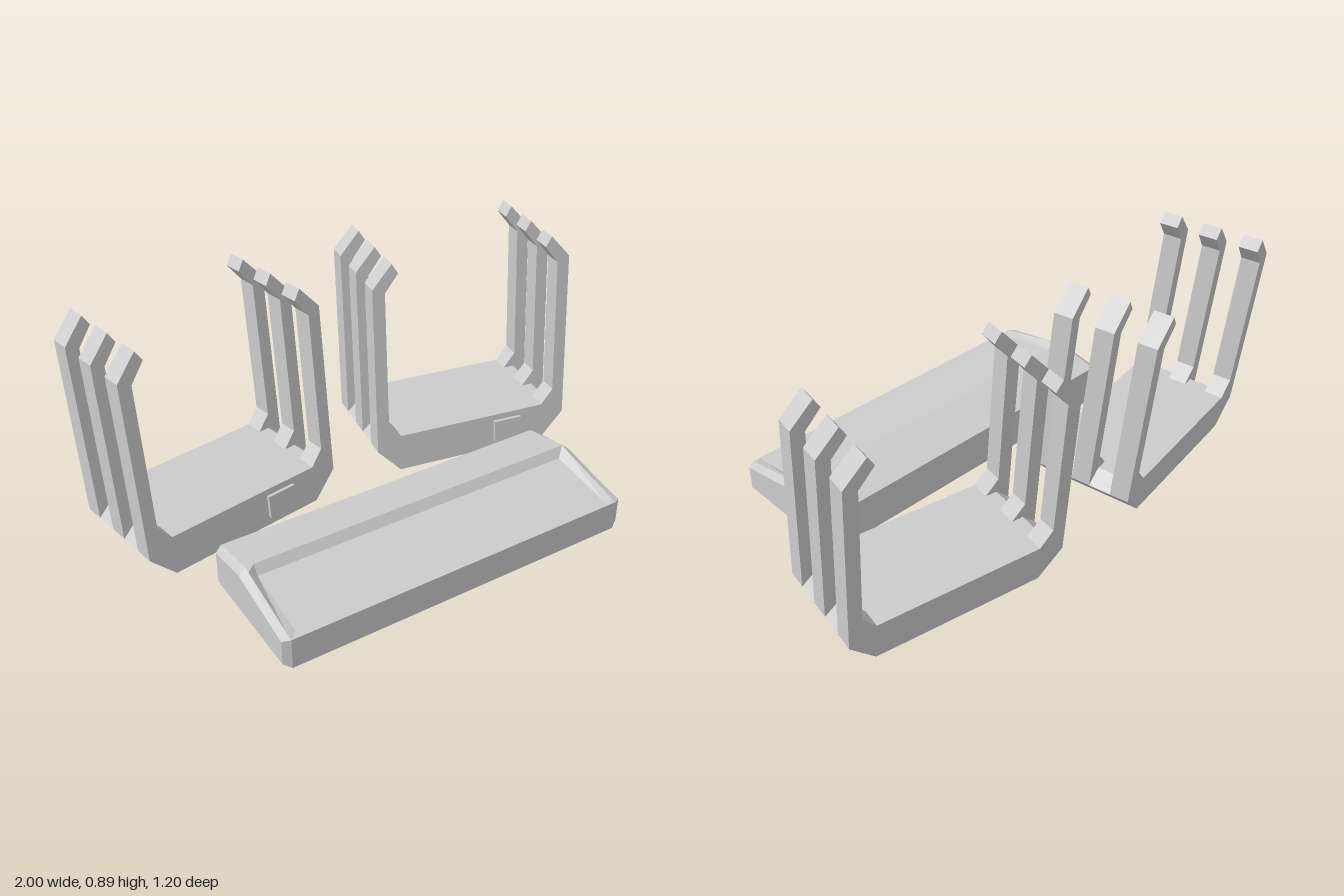
import * as THREE from 'three';

const material = new THREE.MeshStandardMaterial({ color: 0xcccccc, flatShading: true });
const DEPTH = 0.405, LEAN = 0.088, POST = 0.075;

function part(parent, name, geometry) {
  const mesh = new THREE.Mesh(geometry, material);
  mesh.name = name;
  parent.add(mesh);
  return mesh;
}

// Extrude an outline from zFront backwards, then lean it back with height
function leaning(points, zFront, depth) {
  const shape = new THREE.Shape(points.map(([x, y]) => new THREE.Vector2(x, y)));
  const g = new THREE.ExtrudeGeometry(shape, { depth, bevelEnabled: false });
  g.translate(0, 0, zFront - depth);
  const p = g.attributes.position;
  for (let i = 0; i < p.count; i++) p.setZ(i, p.getZ(i) - LEAN * (p.getY(i) - 0.12));
  g.computeVertexNormals();
  return g;
}

// Cradle: chamfered floor with three hooked posts on each side
function createRack(name, x, angle) {
  const rack = new THREE.Group();
  rack.name = name;
  rack.position.set(x, 0, -0.072);
  rack.rotation.y = angle;

  const half = [[0.32, 0.02], [0.415, 0.12], [0.36, 0.17]];
  const mirrored = half.map(([px, py]) => [-px, py]).reverse();
  part(rack, 'rackBase', leaning([...half, ...mirrored], 0, DEPTH));

  const postOutline = [
    [0.415, 0.12], [0.415, 0.8], [0.335, 0.89], [0.31, 0.85],
    [0.365, 0.78], [0.365, 0.23], [0.315, 0.17], [0.36, 0.17],
  ];
  for (const side of [-1, 1]) {
    const outline = postOutline.map(([px, py]) => [px * side, py]);
    for (let i = 0; i < 3; i++) {
      part(rack, 'post', leaning(outline, -i * (DEPTH - POST) / 2, POST));
    }
    // small feet under the corners
    for (const z of [-0.04, -0.36]) {
      part(rack, 'foot', new THREE.BoxGeometry(0.04, 0.014, 0.04)).position.set(side * 0.285, 0.017, z);
    }
  }

  // small plate on the front edge
  part(rack, 'frontPlate', leaning([[0.095, 0.055], [0.215, 0.055], [0.215, 0.145], [0.095, 0.145]], 0.013, 0.02));
  return rack;
}

// Console: cross-sections lofted along x, with bevelled ends and a sunken panel
function createConsoleGeometry() {
  const full = [[0.6, 0], [0.6, 0.12], [0.57, 0.127], [0.31, 0.189], [0.285, 0.195], [0.095, 0.16], [0.095, 0]];
  const sunk = full.map(([z, y], i) => (i === 2 ? [z, 0.119] : i === 3 ? [z, 0.16] : [z, y]));
  const end = full.map(([z, y]) => [0.345 + (z - 0.345) * 0.94, 0.09 + (y - 0.09) * 0.8]);
  const stations = [[-0.72, end], [-0.692, full], [-0.66, sunk], [0.64, sunk], [0.672, full], [0.7, end]]
    .map(([x, section]) => section.map(([z, y]) => [x, y, z]));
  const n = full.length, positions = [];
  const tri = (a, b, c) => positions.push(...a, ...b, ...c);
  for (let s = 0; s < stations.length - 1; s++) {
    const a = stations[s], b = stations[s + 1];
    for (let i = 0; i < n; i++) {
      const j = (i + 1) % n;
      tri(a[i], b[i], b[j]);
      tri(a[i], b[j], a[j]);
    }
  }
  const first = stations[0], last = stations[stations.length - 1];
  for (let i = 1; i < n - 1; i++) {
    tri(first[0], first[i], first[i + 1]);
    tri(last[0], last[i + 1], last[i]);
  }
  const g = new THREE.BufferGeometry();
  g.setAttribute('position', new THREE.Float32BufferAttribute(positions, 3));
  g.computeVertexNormals();
  return g;
}

export function createModel() {
  const model = new THREE.Group();
  model.name = 'rackSet';
  const angle = THREE.MathUtils.degToRad(10);
  model.add(createRack('rightRack', -0.511, angle));
  model.add(createRack('leftRack', 0.511, -angle));
  part(model, 'console', createConsoleGeometry());
  return model;
}
